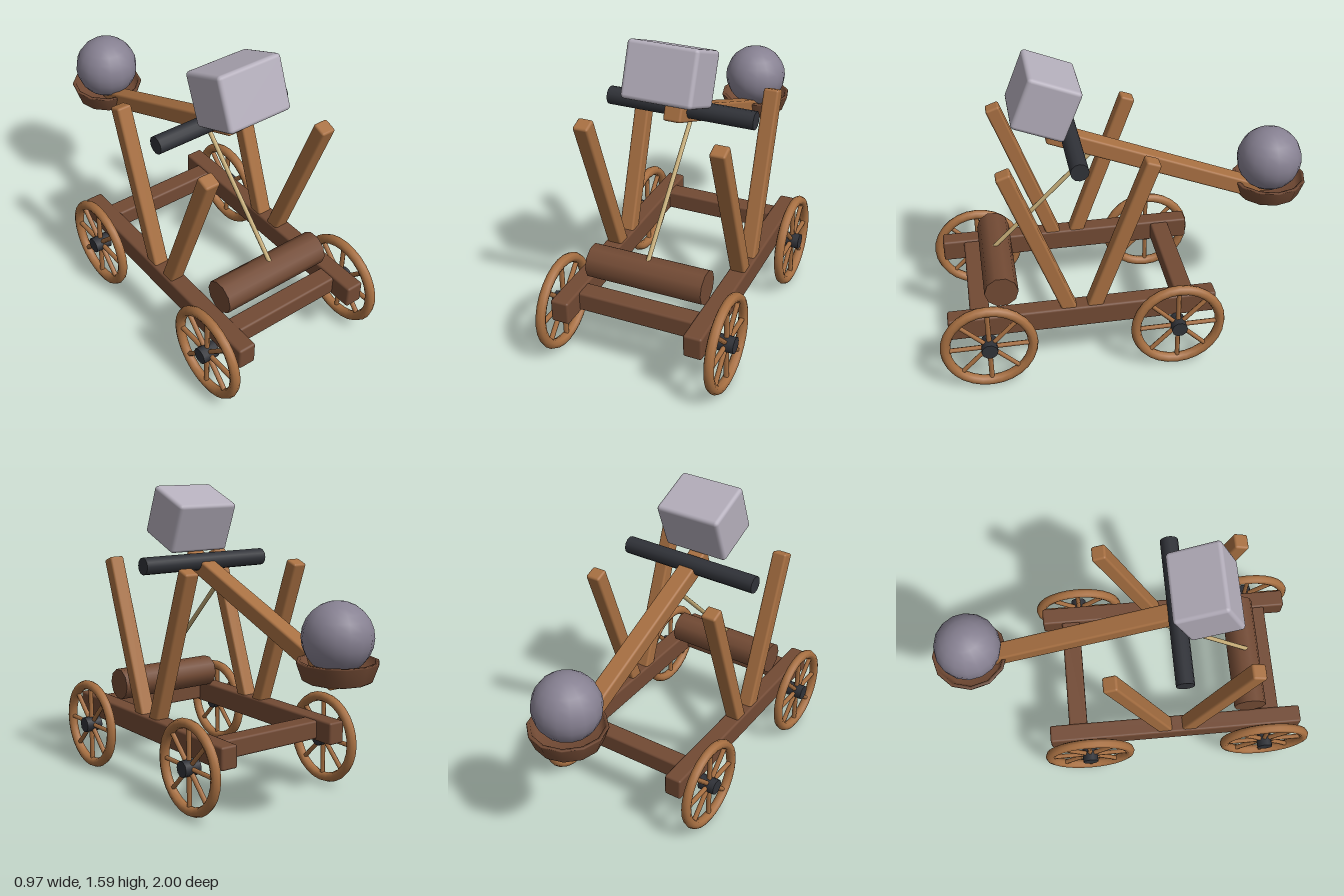
import * as THREE from 'three';
import { RoundedBoxGeometry } from 'three/addons/geometries/RoundedBoxGeometry.js';

const material = (name, color) => {
  const m = new THREE.MeshStandardMaterial({ color });
  m.name = name;
  return m;
};

export function createModel() {
  const lightWood = material('light wood', 0xa87042);
  const darkWood = material('dark wood', 0x724a34);
  const iron = material('dark iron', 0x303238);
  const paleStone = material('pale stone', 0xb4aebb);
  const greyStone = material('grey stone', 0x878192);
  const rope = material('rope', 0xc4ab76);

  const model = new THREE.Group();
  model.name = 'catapult';

  const add = (name, geometry, mat, x, y, z, parent = model) => {
    const mesh = new THREE.Mesh(geometry, mat);
    mesh.name = name;
    mesh.position.set(x, y, z);
    parent.add(mesh);
    return mesh;
  };
  const box = (w, h, d, r = 0.012) => new RoundedBoxGeometry(w, h, d, 2, r);
  // cylinder lying along x
  const rod = (r, length, sides) =>
    new THREE.CylinderGeometry(r, r, length, sides).rotateZ(Math.PI / 2);
  // sloping part in a plane of constant x; from and to are [y, z]
  const slope = (name, makeGeometry, mat, x, from, to) => {
    const dy = to[0] - from[0], dz = to[1] - from[1];
    const mesh = add(name, makeGeometry(Math.hypot(dy, dz)), mat,
      x, (from[0] + to[0]) / 2, (from[1] + to[1]) / 2);
    mesh.rotation.x = Math.atan2(dz, dy);
    return mesh;
  };

  // chassis
  for (const side of [-1, 1]) {
    const label = side > 0 ? 'left' : 'right';
    add(label + 'Rail', box(0.095, 0.12, 1.385), darkWood, side * 0.347, 0.34, 0.255);
    slope(label + 'FrontUpright', (l) => box(0.08, l, 0.076), lightWood,
      side * 0.345, [0.33, 0.307], [1.205, 0.622]);
    slope(label + 'RearUpright', (l) => box(0.08, l, 0.076), lightWood,
      side * 0.345, [0.33, 0.218], [1.205, -0.1]);
  }
  add('frontCrossbeam', box(0.64, 0.1, 0.1), darkWood, 0, 0.341, 0.783);
  add('rearCrossbeam', box(0.64, 0.1, 0.1), darkWood, 0, 0.341, -0.28);

  // wheels with eight spokes
  const rimGeometry = new THREE.TorusGeometry(0.223, 0.026, 8, 28).rotateY(Math.PI / 2);
  const hubGeometry = rod(0.042, 0.092, 10);
  const spokeGeometry = new THREE.CylinderGeometry(0.013, 0.013, 0.2, 6).translate(0, 0.12, 0);
  for (const side of [-1, 1]) {
    for (const [end, z] of [['Front', 0.751], ['Rear', -0.228]]) {
      const wheel = new THREE.Group();
      wheel.name = (side > 0 ? 'left' : 'right') + end + 'Wheel';
      wheel.position.set(side * 0.441, 0.255, z);
      model.add(wheel);
      add('rim', rimGeometry, lightWood, 0, 0, 0, wheel);
      add('hub', hubGeometry, iron, 0, 0, 0, wheel);
      for (let i = 0; i < 8; i++) {
        add('spoke', spokeGeometry, lightWood, 0, 0, 0, wheel).rotation.x = (i * Math.PI) / 4;
      }
    }
  }

  // throwing arm on its pivot
  add('pivotAxle', rod(0.046, 0.77, 12), iron, 0, 1.196, 0.26);
  const arm = slope('throwingArm', (l) => box(0.094, l, 0.088), lightWood,
    0, [0.737, -0.817], [1.213, 0.367]);
  const weight = add('counterweight', box(0.36, 0.277, 0.277, 0.02), paleStone, 0, 1.42, 0.383);
  weight.rotation.x = arm.rotation.x;

  // bowl and its load
  const bowlProfile = [
    [0, 0.742], [0.155, 0.742], [0.167, 0.75], [0.196, 0.832], [0.194, 0.839],
    [0.178, 0.839], [0.152, 0.775], [0, 0.772],
  ].map(([r, y]) => new THREE.Vector2(r, y));
  add('bowl', new THREE.LatheGeometry(bowlProfile, 12), darkWood, 0, 0, -0.804);
  add('boulder', new THREE.SphereGeometry(0.171, 16, 12), greyStone, 0, 0.946, -0.8);

  // winch
  add('winchDrum', rod(0.087, 0.61, 10), darkWood, 0, 0.482, 0.665);
  slope('winchRope', (l) => new THREE.CylinderGeometry(0.012, 0.012, l, 8), rope,
    0, [0.555, 0.675], [1.095, 0.135]);

  return model;
}
